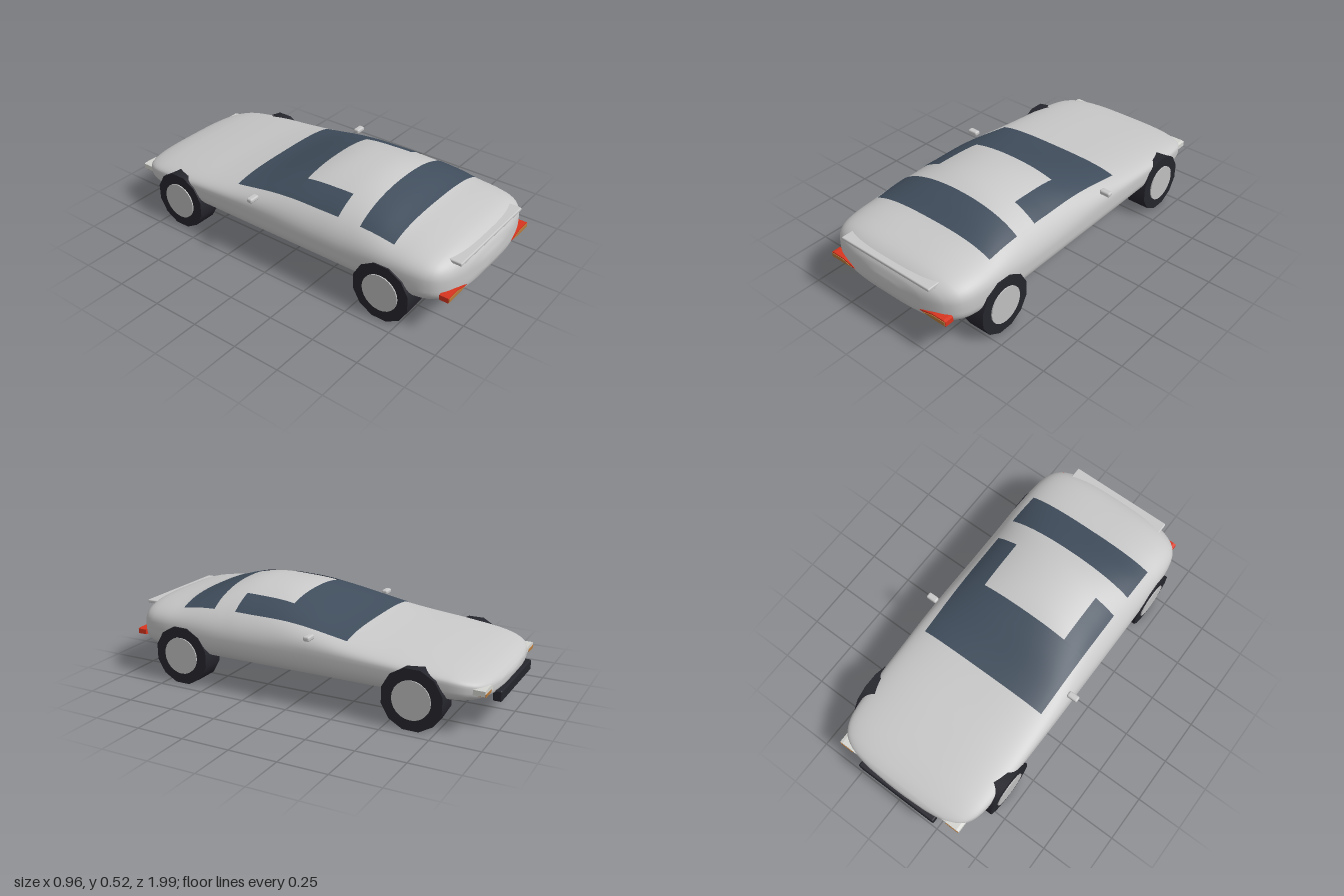
import * as THREE from 'three';
import { RoundedBoxGeometry } from 'three/addons/geometries/RoundedBoxGeometry.js';

const mat = (name, color, side = THREE.FrontSide) => {
  const m = new THREE.MeshStandardMaterial({ color, side });
  m.name = name;
  return m;
};

// Body stations along z: [z, half width, bottom, top, belt height]
const STATIONS = [
  [-0.985, 0.06, 0.205, 0.225, 0.215],
  [-0.978, 0.19, 0.188, 0.240, 0.217],
  [-0.955, 0.31, 0.170, 0.262, 0.222],
  [-0.90, 0.385, 0.150, 0.285, 0.235],
  [-0.80, 0.42, 0.136, 0.309, 0.25],
  [-0.60, 0.432, 0.131, 0.339, 0.265],
  [-0.40, 0.437, 0.13, 0.363, 0.275],
  [-0.20, 0.44, 0.13, 0.400, 0.28],
  [0.00, 0.44, 0.13, 0.465, 0.28],
  [0.15, 0.44, 0.13, 0.508, 0.28],
  [0.30, 0.44, 0.13, 0.522, 0.28],
  [0.42, 0.44, 0.13, 0.518, 0.28],
  [0.55, 0.44, 0.13, 0.485, 0.28],
  [0.68, 0.437, 0.131, 0.441, 0.28],
  [0.80, 0.43, 0.136, 0.421, 0.28],
  [0.89, 0.405, 0.146, 0.402, 0.275],
  [0.945, 0.345, 0.163, 0.374, 0.27],
  [0.975, 0.24, 0.188, 0.338, 0.265],
  [0.99, 0.08, 0.225, 0.290, 0.26],
];

// Smooth (Hermite) interpolation between stations
function section(z) {
  const S = STATIONS, last = S.length - 1;
  let i = 0;
  while (i < last - 1 && z > S[i + 1][0]) i++;
  const h = S[i + 1][0] - S[i][0], t = (z - S[i][0]) / h;
  const slope = (k, c) => {
    const a = S[Math.max(k - 1, 0)], b = S[Math.min(k + 1, last)];
    return (b[c] - a[c]) / (b[0] - a[0]);
  };
  const at = c => {
    const t2 = t * t, t3 = t2 * t;
    return (2 * t3 - 3 * t2 + 1) * S[i][c] + (t3 - 2 * t2 + t) * h * slope(i, c)
      + (3 * t2 - 2 * t3) * S[i + 1][c] + (t3 - t2) * h * slope(i + 1, c);
  };
  const top = at(3);
  // round roof arch, squarer bonnet and tail
  const n = THREE.MathUtils.clamp(3 - (top - 0.4) / 0.12, 2, 3);
  return { w: at(1), bottom: at(2), top, belt: at(4), n };
}

// Height of the upper skin at a point
function skinY(x, z) {
  const s = section(z);
  const u = Math.min(Math.abs(x) / s.w, 1);
  return s.belt + (s.top - s.belt) * Math.pow(1 - Math.pow(u, s.n), 1 / s.n);
}

function bodyGeometry() {
  const zs = [], SUB = 5, N = 72;
  for (let i = 0; i < STATIONS.length - 1; i++) {
    for (let k = 0; k < SUB; k++) {
      zs.push(THREE.MathUtils.lerp(STATIONS[i][0], STATIONS[i + 1][0], k / SUB));
    }
  }
  zs.push(STATIONS[STATIONS.length - 1][0]);
  const pos = [], idx = [];
  const pw = (v, e) => Math.sign(v) * Math.pow(Math.abs(v), e);
  for (const z of zs) {
    const s = section(z);
    for (let j = 0; j < N; j++) {
      const a = (j / N) * Math.PI * 2, up = j <= N / 2;
      const e = 2 / (up ? s.n : 3.5);
      const h = up ? s.top - s.belt : s.belt - s.bottom;
      pos.push(s.w * pw(Math.cos(a), e), s.belt + h * pw(Math.sin(a), e), z);
    }
  }
  for (let i = 0; i < zs.length - 1; i++) {
    for (let j = 0; j < N; j++) {
      const k = (j + 1) % N;
      const a = i * N + j, b = i * N + k, c = a + N, d = b + N;
      idx.push(a, b, c, b, d, c);
    }
  }
  // close nose and tail
  const end = zs.length - 1, nose = pos.length / 3;
  pos.push(0, STATIONS[0][4], zs[0] - 0.001, 0, STATIONS[STATIONS.length - 1][4], zs[end] + 0.001);
  for (let j = 0; j < N; j++) {
    const k = (j + 1) % N;
    idx.push(nose, k, j, nose + 1, end * N + j, end * N + k);
  }
  const g = new THREE.BufferGeometry();
  g.setAttribute('position', new THREE.Float32BufferAttribute(pos, 3));
  g.setIndex(idx);
  g.computeVertexNormals();
  return g;
}

// Thin pane following the upper skin
function paneGeometry(x0, x1, z0, z1) {
  const g = new THREE.PlaneGeometry(x1 - x0, z1 - z0, Math.ceil((x1 - x0) / 0.02), Math.ceil((z1 - z0) / 0.02));
  g.rotateX(-Math.PI / 2);
  g.translate((x0 + x1) / 2, 0, (z0 + z1) / 2);
  const p = g.attributes.position;
  for (let i = 0; i < p.count; i++) p.setY(i, skinY(p.getX(i), p.getZ(i)) + 0.004);
  g.computeVertexNormals();
  return g;
}

// Lamp outline tapering towards the middle of the car
function lampGeometry(points, z0, z1, side) {
  const pts = points.map(([x, y]) => new THREE.Vector2(x * side, y));
  const g = new THREE.ExtrudeGeometry(new THREE.Shape(pts), { depth: z1 - z0, bevelEnabled: false });
  g.translate(0, 0, z0);
  return g;
}

export function createModel() {
  const car = new THREE.Group();
  car.name = 'car';
  const paint = mat('silverPaint', 0xc8c8c8);
  const glass = mat('tintedGlass', 0x404d5c, THREE.DoubleSide);
  const rubber = mat('blackRubber', 0x25252d);
  const metal = mat('wheelMetal', 0xbfbfbf);
  const red = mat('redLamp', 0xd8351f);
  const amber = mat('amberLamp', 0xb87a3a);
  const clear = mat('clearLamp', 0xd4d4d0);

  const add = (name, geometry, material, x = 0, y = 0, z = 0) => {
    const m = new THREE.Mesh(geometry, material);
    m.name = name;
    m.position.set(x, y, z);
    car.add(m);
    return m;
  };

  add('body', bodyGeometry(), paint);
  add('windscreen', paneGeometry(-0.37, 0.37, -0.27, 0.085), glass);
  add('rearWindow', paneGeometry(-0.37, 0.37, 0.485, 0.675), glass);
  add('spoiler', new RoundedBoxGeometry(0.575, 0.018, 0.075, 2, 0.006), paint, 0, 0.365, 0.942);
  add('bumper', new RoundedBoxGeometry(0.48, 0.055, 0.045, 2, 0.008), rubber, 0, 0.167, -0.9775);

  // twelve-sided wheels with hubs showing on both faces
  const tyre = new THREE.CylinderGeometry(0.157, 0.157, 0.123, 12).rotateY(Math.PI / 12).rotateZ(Math.PI / 2);
  const hub = new THREE.CylinderGeometry(0.098, 0.098, 0.133, 24).rotateZ(Math.PI / 2);
  const outline = [[0.215, 0.217], [0.30, 0.21], [0.38, 0.21], [0.38, 0.236], [0.365, 0.24], [0.30, 0.239], [0.24, 0.226]];
  const strip = [[0.24, 0.217], [0.30, 0.213], [0.377, 0.213], [0.377, 0.233], [0.30, 0.233]];
  const corner = [[0.30, 0.208], [0.378, 0.208], [0.378, 0.222], [0.30, 0.22]];

  for (const side of [1, -1]) {
    const label = side > 0 ? 'left' : 'right';
    const xs = (a, b) => (side > 0 ? [a, b] : [-b, -a]);
    add(label + 'SideWindow', paneGeometry(...xs(0.25, 0.37), 0.085, 0.36), glass);
    add(label + 'Mirror', new RoundedBoxGeometry(0.06, 0.025, 0.034, 3, 0.009), paint, side * 0.448, 0.376, -0.105);
    for (const [end, z] of [['Front', -0.635], ['Rear', 0.655]]) {
      add(label + end + 'Tyre', tyre, rubber, side * 0.3815, 0.155, z);
      add(label + end + 'Hub', hub, metal, side * 0.3825, 0.155, z);
    }
    add(label + 'TailLamp', lampGeometry(outline, 0.93, 0.978, side), red);
    add(label + 'TailIndicator', lampGeometry(strip, 0.972, 0.981, side), amber);
    add(label + 'Headlamp', lampGeometry(outline, -0.965, -0.9, side), clear);
    add(label + 'FrontIndicator', lampGeometry(corner, -0.968, -0.93, side), amber);
  }
  return car;
}
